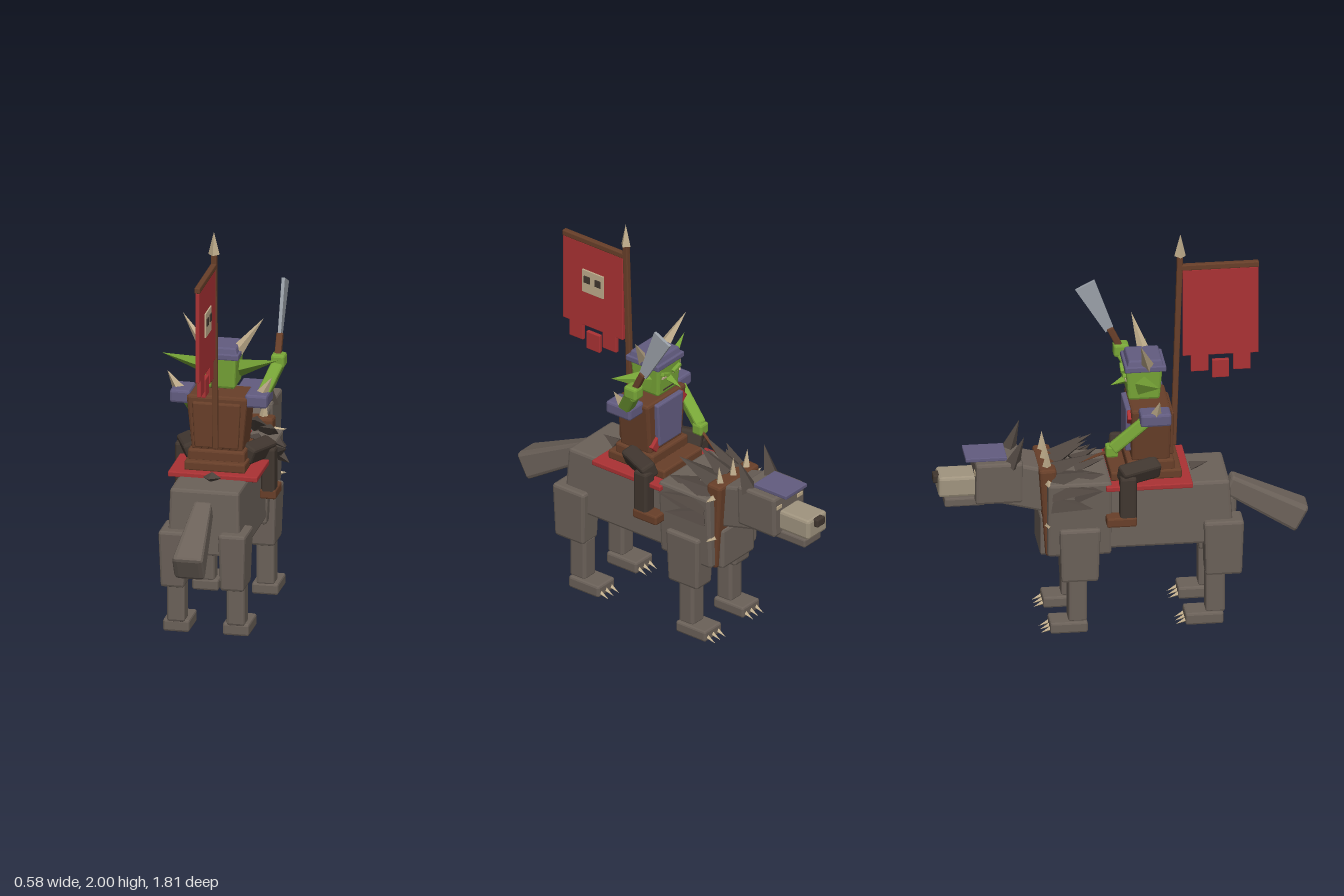
import * as THREE from 'three';
import { RoundedBoxGeometry } from 'three/addons/geometries/RoundedBoxGeometry.js';

const mat = (name, color, side = THREE.FrontSide) =>
  Object.assign(new THREE.MeshStandardMaterial({ color, flatShading: true, side }), { name });
const M = {
  fur: mat('fur', 0x6b6159), dark: mat('darkFur', 0x4f4640), cloth: mat('darkTrousers', 0x40362f),
  leather: mat('leather', 0x683f29), red: mat('redCloth', 0xab3234), skin: mat('greenSkin', 0x78a637),
  plate: mat('purplePlate', 0x625c80), bone: mat('bone', 0xc0ad8c), muzzle: mat('muzzle', 0xa0947f),
  steel: mat('steel', 0x9aa0a8),
};
const V = (p) => new THREE.Vector3(...p);
const UP = new THREE.Vector3(0, 1, 0);

export function createModel() {
  const root = new THREE.Group();
  root.name = 'wolfRider';
  const body = new THREE.Group();
  body.name = 'figure';
  body.position.x = -0.008;
  root.add(body);

  function add(name, geometry, material) {
    const mesh = new THREE.Mesh(geometry, material);
    mesh.name = name;
    body.add(mesh);
    return mesh;
  }
  // Chamfered box; the bottom end is scaled by bx, bz
  function boxGeo(w, h, d, bx = 1, bz = 1) {
    const r = Math.min(0.014, w * 0.18, h * 0.18, d * 0.18);
    const g = new RoundedBoxGeometry(w, h, d, 1, r);
    const p = g.attributes.position;
    for (let i = 0; i < p.count; i++) {
      const t = 0.5 - p.getY(i) / h;
      p.setX(i, p.getX(i) * (1 + (bx - 1) * t));
      p.setZ(i, p.getZ(i) * (1 + (bz - 1) * t));
    }
    g.computeVertexNormals();
    return g;
  }
  // Box given by its x, y and z ranges
  function block(name, m, [x0, x1], [y0, y1], [z0, z1], bx, bz) {
    const mesh = add(name, boxGeo(x1 - x0, y1 - y0, Math.abs(z1 - z0), bx, bz), m);
    mesh.position.set((x0 + x1) / 2, (y0 + y1) / 2, (z0 + z1) / 2);
    return mesh;
  }
  function aim(mesh, a, b) {
    mesh.position.copy(a).add(b).multiplyScalar(0.5);
    mesh.quaternion.setFromUnitVectors(UP, b.clone().sub(a).normalize());
    return mesh;
  }
  // Box running from point a to point b; the a end is scaled by bx, bz
  function beam(name, m, a, b, w, d, bx, bz) {
    a = V(a); b = V(b);
    return aim(add(name, boxGeo(w, a.distanceTo(b), d, bx, bz), m), a, b);
  }
  // Pointed cone from its base to its tip
  function spike(name, m, a, b, r, flat = 1, sides = 4) {
    a = V(a); b = V(b);
    const g = new THREE.ConeGeometry(r, a.distanceTo(b), sides);
    g.scale(1, 1, flat);
    return aim(add(name, g, m), a, b);
  }
  const sym = (w) => [-w, w];

  // Wolf trunk
  block('hindBody', M.fur, sym(0.17), [0.43, 0.755], [-0.14, 0.515], 1.05, 1.06);
  block('chest', M.fur, sym(0.2), [0.4, 0.79], [-0.37, -0.06], 0.9, 1);
  block('chestFront', M.fur, sym(0.125), [0.385, 0.6], [-0.4, -0.28]);
  beam('collar', M.leather, [0, 0.39, -0.345], [0, 0.85, -0.365], 0.31, 0.085, 0.95, 0.7);
  beam('tail', M.fur, [0, 0.475, 0.88], [0, 0.67, 0.52], 0.085, 0.1, 1.8, 1.45);
  spike('backTuft', M.dark, [0, 0.765, 0.34], [0, 0.785, 0.43], 0.045, 0.6);

  // Wolf head
  beam('neck', M.fur, [0, 0.71, -0.33], [0, 0.775, -0.58], 0.22, 0.22);
  block('wolfHead', M.fur, sym(0.12), [0.665, 0.88], [-0.71, -0.48], 0.95);
  block('wolfMuzzle', M.muzzle, sym(0.073), [0.695, 0.8], [-0.885, -0.69]);
  block('wolfNose', M.cloth, sym(0.03), [0.755, 0.797], [-0.907, -0.87]);
  block('wolfJaw', M.fur, sym(0.065), [0.64, 0.685], [-0.855, -0.66]);
  block('browPlate', M.plate, sym(0.082), [0.88, 0.9], [-0.755, -0.555]);

  for (const s of [-1, 1]) {
    spike('wolfEar', M.dark, [s * 0.085, 0.86, -0.53], [s * 0.1, 1.01, -0.475], 0.055, 0.7);
    block('wolfEye', M.bone, [s * 0.08 - 0.02, s * 0.08 + 0.02], [0.815, 0.835], [-0.714, -0.705]);

    // Four legs with clawed paws
    const x = s * 0.147;
    const span = (w) => [x - w / 2, x + w / 2];
    const legs = [
      ['hind', [0.385, 0.58], 0.555, [0.395, 0.49], [0.295, 0.48], 0.015, 0.077],
      ['front', [-0.315, -0.115], 0.55, [-0.27, -0.18], [-0.36, -0.178], 0.005, 0.062],
    ];
    for (const [n, thigh, top, shin, paw, y0, y1] of legs) {
      block(n + 'Thigh', M.fur, span(0.135), [0.27, top], thigh, 0.86, 0.9);
      block(n + 'Shin', M.fur, span(0.09), [y1 - 0.01, 0.29], shin);
      block(n + 'Paw', M.fur, span(0.13), [y0, y1], paw);
      for (const c of [-0.04, 0, 0.04])
        spike('claw', M.bone, [x + c, y0 + 0.022, paw[0] + 0.005], [x + c, y0, paw[0] - 0.045], 0.012);
    }
  }

  // Collar studs: upright on top, sideways at the sides
  for (const x of [-0.1, 0, 0.1]) spike('collarStud', M.bone, [x, 0.84, -0.365], [x * 1.1, 0.94, -0.365], 0.024);
  for (const s of [-1, 1]) for (const y of [0.56, 0.78])
    spike('collarStud', M.bone, [s * 0.145, y, -0.36], [s * 0.215, y + 0.01, -0.37], 0.022);

  // Mane of swept-back tufts in two rows
  for (let i = -4; i <= 4; i++) {
    const a = i * 0.42, sx = Math.sin(a), cy = Math.cos(a), k = i % 2 ? 0.04 : 0;
    spike('maneTuft', M.dark, [0.17 * sx, 0.7 + 0.13 * cy, -0.33],
      [0.275 * sx, 0.715 + 0.215 * cy, -0.16 + k], 0.065, 0.6);
  }
  for (let i = -2; i <= 2; i++) {
    const a = i * 0.5, sx = Math.sin(a);
    spike('maneTuft', M.dark, [0.2 * sx, 0.66 + 0.13 * Math.cos(a), -0.22],
      [0.32 * sx, 0.72 + 0.11 * Math.cos(a), -0.07 - Math.abs(i) * 0.02], 0.06, 0.6);
  }

  // Saddle
  block('saddleBlanket', M.red, sym(0.22), [0.75, 0.776], [-0.09, 0.33]);
  block('saddle', M.leather, sym(0.15), [0.772, 0.82], [-0.06, 0.285]);

  // Rider torso
  block('hips', M.leather, sym(0.14), [0.81, 0.87], [0.02, 0.25]);
  block('torso', M.leather, sym(0.152), [0.86, 1.14], [0.04, 0.235], 0.82, 0.95);
  block('backPanel', M.leather, sym(0.12), [0.88, 1.11], [0.2, 0.25], 0.9);
  block('breastplate', M.plate, sym(0.1), [0.9, 1.13], [0.018, 0.06], 0.85);
  beam('sash', M.red, [0.115, 0.89, 0.04], [-0.12, 1.11, 0.036], 0.05, 0.025);

  // Rider head
  block('riderHead', M.skin, sym(0.088), [1.165, 1.335], [0.02, 0.2], 0.9, 0.85);
  block('helmetBrim', M.plate, sym(0.102), [1.32, 1.35], [0.015, 0.215]);
  block('helmetCap', M.plate, sym(0.085), [1.34, 1.378], [0.035, 0.195], 1.12, 1.12);
  spike('riderNose', M.skin, [0, 1.25, 0.04], [0, 1.215, -0.045], 0.028);
  block('mouth', M.cloth, sym(0.045), [1.19, 1.197], [0.028, 0.035]);

  for (const s of [-1, 1]) {
    spike('helmetHorn', M.bone, [s * 0.075, 1.34, 0.13], [s * 0.2, 1.505, 0.08], 0.032);
    spike('riderEar', M.skin, [s * 0.07, 1.245, 0.09], [s * 0.285, 1.32, 0.16], 0.05, 0.6);
    beam('eyebrow', M.skin, [s * 0.015, 1.275, 0.022], [s * 0.07, 1.295, 0.022], 0.018, 0.03);
    block('riderEye', M.bone, [s * 0.043 - 0.018, s * 0.043 + 0.018], [1.258, 1.27], [0.021, 0.03]);
    const pad = s > 0 ? [0.135, 0.245] : [-0.235, -0.135];
    block('shoulderPad', M.plate, pad, [1.09, 1.155], [0.075, 0.225]);
    spike('shoulderSpike', M.bone, [s * 0.205, 1.14, 0.15], [s * 0.258, 1.235, 0.165], 0.03);

    // Seated legs
    beam('riderThigh', M.cloth, [s * 0.13, 0.835, 0.17], [s * 0.205, 0.825, -0.02], 0.08, 0.085);
    block('riderShin', M.cloth, [s * 0.212 - 0.035, s * 0.212 + 0.035], [0.6, 0.83], [-0.025, 0.055]);
    block('boot', M.leather, [s * 0.212 - 0.04, s * 0.212 + 0.04], [0.573, 0.622], [-0.09, 0.055]);
  }

  // Raised arm with cleaver
  beam('raisedArm', M.skin, [0.195, 1.1, 0.15], [0.265, 1.27, 0.04], 0.06, 0.065);
  block('raisedHand', M.skin, [0.23, 0.298], [1.25, 1.315], [0, 0.075]);
  beam('cleaverGrip', M.leather, [0.258, 1.27, 0.045], [0.258, 1.4, -0.018], 0.032, 0.032);
  const blade = new THREE.Shape([[0, 1.405], [0.037, 1.378], [0.183, 1.61], [0.09, 1.657]].map((p) => new THREE.Vector2(...p)));
  const bladeGeo = new THREE.ExtrudeGeometry(blade, { depth: 0.016, bevelEnabled: false });
  bladeGeo.rotateY(Math.PI / 2);
  add('cleaverBlade', bladeGeo, M.steel).position.x = 0.25;

  // Lowered arm holding the rein
  beam('reinArm', M.skin, [-0.175, 1.11, 0.12], [-0.14, 0.945, -0.05], 0.058, 0.06);
  block('reinHand', M.skin, [-0.165, -0.105], [0.905, 0.965], [-0.085, -0.025]);
  beam('rein', M.leather, [-0.13, 0.93, -0.06], [-0.05, 0.8, -0.33], 0.014, 0.014);

  // Banner
  beam('bannerPole', M.leather, [0, 0.885, 0.26], [0, 1.895, 0.293], 0.028, 0.028);
  spike('poleTip', M.bone, [0, 1.885, 0.293], [0, 2, 0.295], 0.028);
  block('crossbar', M.leather, sym(0.014), [1.81, 1.84], [0.28, 0.675]);
  block('bannerCloth', M.red, sym(0.01), [1.355, 1.812], [0.305, 0.673]);
  block('bannerTab', M.red, sym(0.01), [1.27, 1.37], [0.55, 0.635]);
  block('bannerTab', M.red, sym(0.01), [1.232, 1.327], [0.448, 0.53]);
  block('bannerTab', M.red, sym(0.01), [1.27, 1.37], [0.345, 0.43]);
  block('bannerPatch', M.bone, [0.008, 0.017], [1.545, 1.668], [0.42, 0.55]);
  for (const z of [0.453, 0.518]) block('patchMark', M.cloth, [0.015, 0.022], [1.6, 1.637], [z - 0.018, z + 0.018]);

  return root;
}
